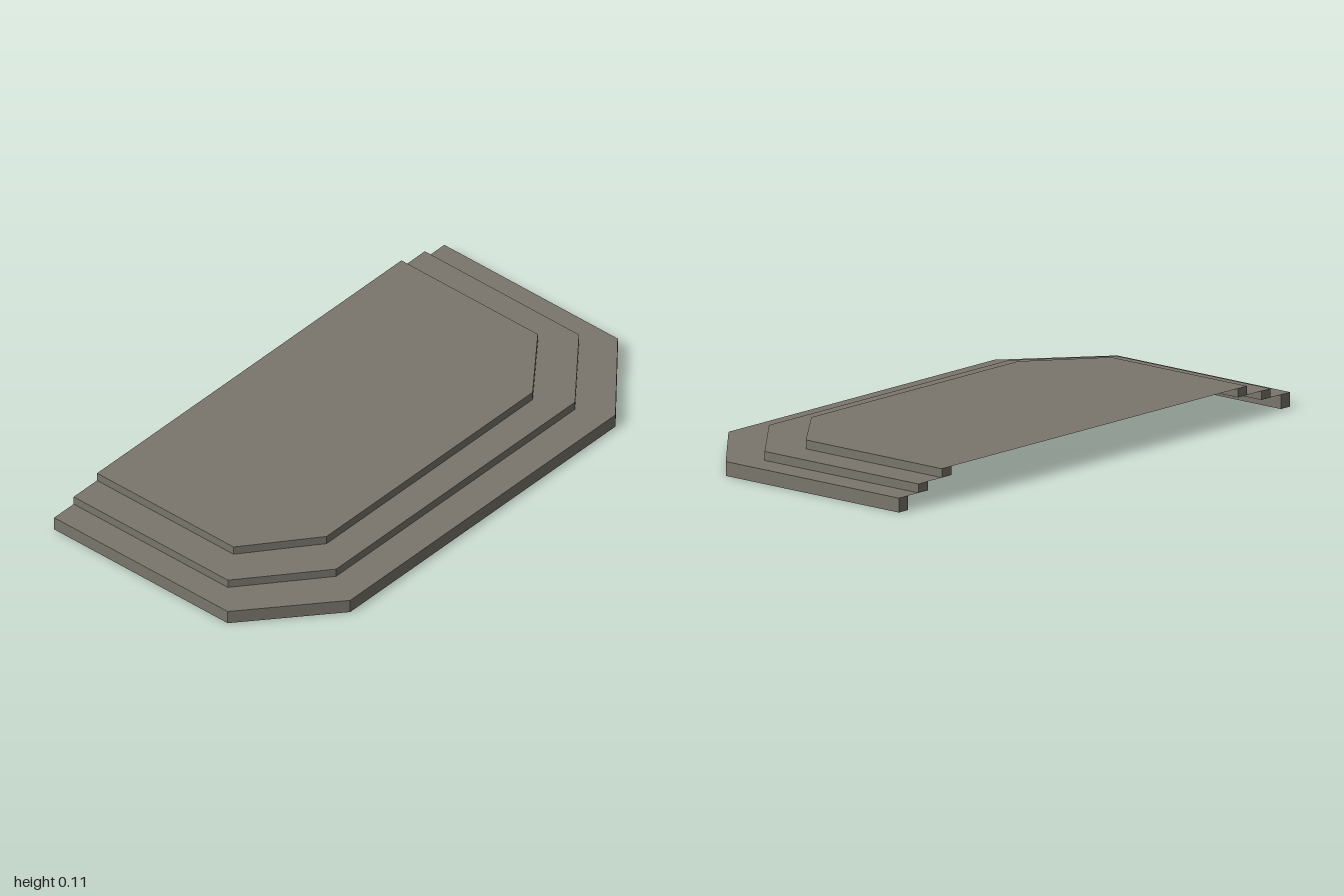
import * as THREE from 'three';

const BACK = -0.527; // straight open edge of the platform
const WALL = 0.048; // thickness of each step's rim

// Outline numbers: x where the chamfer starts, outer x, z where the chamfer ends, outer z
const STEPS = [
  { name: 'lowerStep', y0: 0, y1: 0.05, o: [0.255, 0.526, 0.68, 1.0] },
  { name: 'middleStep', y0: 0.05, y1: 0.081, o: [0.168, 0.403, 0.612, 0.9] },
  { name: 'upperStep', y0: 0.081, y1: 0.112, o: [0.088, 0.286, 0.528, 0.78] },
];

// Three-sided chamfered outline as [x, z] points, open along the straight edge
function outline([cx, x, cz, z]) {
  return [[BACK, z], [cx, z], [x, cz], [x, -cz], [cx, -z], [BACK, -z]];
}

function inset([cx, x, cz, z]) {
  return [cx - WALL * 0.46, x - WALL, cz - WALL * 0.37, z - WALL];
}

// Vertical band following a path
function wall(path, y0, y1) {
  const pos = [];
  for (let i = 0; i < path.length - 1; i++) {
    const [ax, az] = path[i], [bx, bz] = path[i + 1];
    pos.push(ax, y0, az, bx, y0, bz, bx, y1, bz, ax, y0, az, bx, y1, bz, ax, y1, az);
  }
  const g = new THREE.BufferGeometry();
  g.setAttribute('position', new THREE.Float32BufferAttribute(pos, 3));
  g.computeVertexNormals();
  return g;
}

// Flat sheet at height y, facing up
function sheet(points, y) {
  const shape = new THREE.Shape(points.map(([x, z]) => new THREE.Vector2(x, -z)));
  return new THREE.ShapeGeometry(shape).rotateX(-Math.PI / 2).translate(0, y, 0);
}

export function createModel() {
  const model = new THREE.Group();
  model.name = 'steppedPlatform';
  const stone = new THREE.MeshStandardMaterial({ color: 0x7a766c, side: THREE.DoubleSide });
  stone.name = 'warmGreyStone';

  STEPS.forEach((s, i) => {
    const step = new THREE.Group();
    step.name = s.name;
    const add = (name, geometry) => {
      const mesh = new THREE.Mesh(geometry, stone);
      mesh.name = name;
      step.add(mesh);
    };
    const outer = outline(s.o), inner = outline(inset(s.o));

    // Rim: riser outside, second skin inside, hollow below
    add('riser', wall(outer, s.y0, s.y1));
    add('innerSkin', wall([...inner].reverse(), s.y0, s.y1));

    // Closed rim ends on the straight side
    add('frontRimEnd', wall([inner[0], outer[0]], s.y0, s.y1));
    add('backRimEnd', wall([outer[5], inner[5]], s.y0, s.y1));

    // Tread up to the next riser, or the full deck on top
    const next = STEPS[i + 1];
    if (next) add('tread', sheet([...outer, ...outline(next.o).reverse()], s.y1));
    else add('deck', sheet(outer, s.y1));
    model.add(step);
  });
  return model;
}
